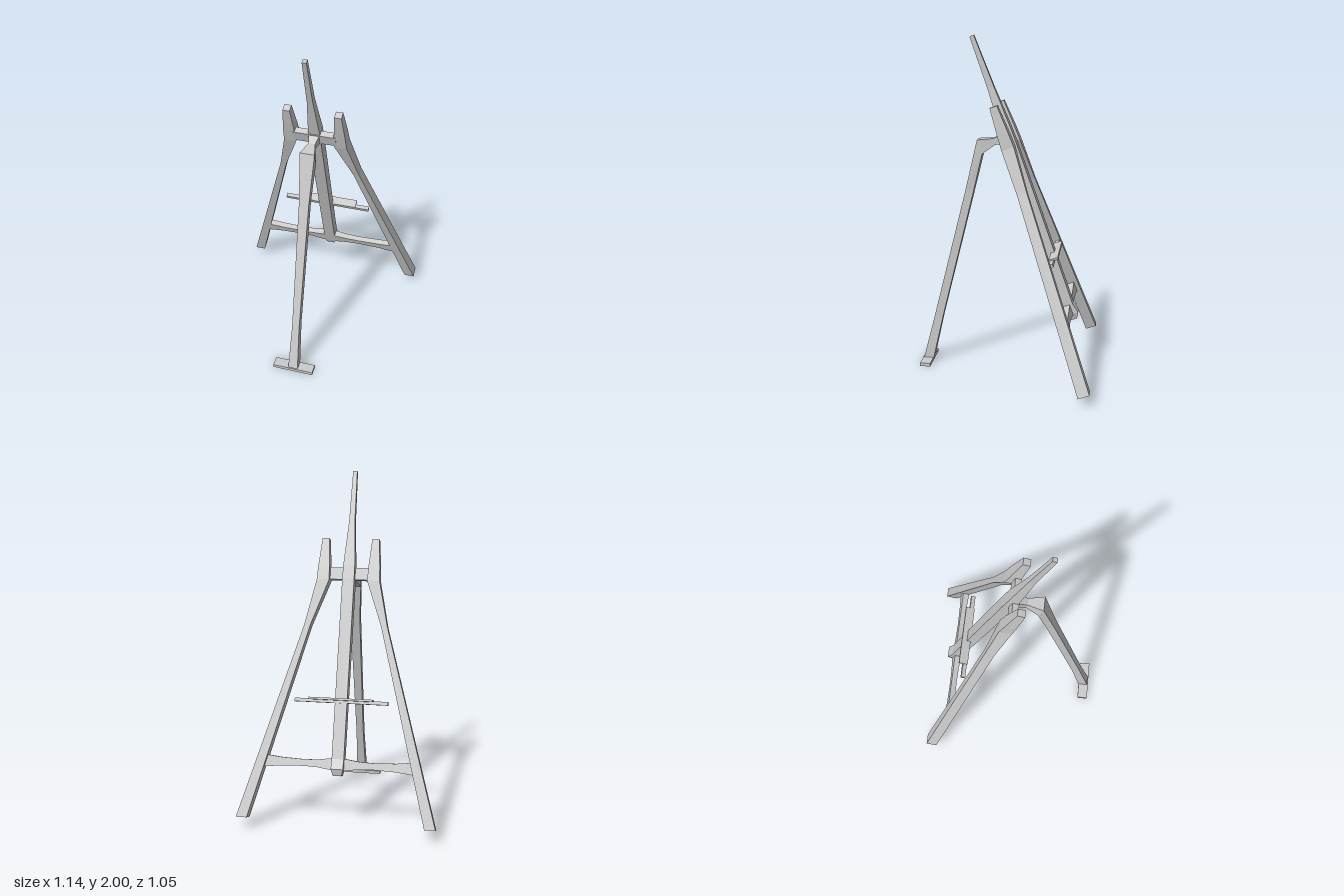
import * as THREE from 'three';

const material = new THREE.MeshStandardMaterial({ color: 0xcccccc, flatShading: true });

// Faceted beam through four-cornered cross-sections, capped at both ends
function loft(name, sections) {
  const pos = [];
  const quad = (a, b, c, d) => [a, b, c, a, c, d].forEach((p) => pos.push(...p));
  for (let i = 0; i < sections.length - 1; i++) {
    const s = sections[i], n = sections[i + 1];
    for (let k = 0; k < 4; k++) quad(s[k], s[(k + 1) % 4], n[(k + 1) % 4], n[k]);
  }
  const last = sections[sections.length - 1];
  quad(...[...sections[0]].reverse());
  quad(...last);

  // Turn all faces outward, whichever way the sections run
  let volume = 0;
  const [a, b, c] = [0, 0, 0].map(() => new THREE.Vector3());
  for (let i = 0; i < pos.length; i += 9) {
    a.fromArray(pos, i); b.fromArray(pos, i + 3); c.fromArray(pos, i + 6);
    volume += a.dot(b.cross(c));
  }
  if (volume < 0) {
    for (let i = 0; i < pos.length; i += 9) {
      const p = pos.slice(i + 3, i + 6);
      for (let k = 0; k < 3; k++) { pos[i + 3 + k] = pos[i + 6 + k]; pos[i + 6 + k] = p[k]; }
    }
  }
  const geo = new THREE.BufferGeometry();
  geo.setAttribute('position', new THREE.Float32BufferAttribute(pos, 3));
  geo.computeVertexNormals();
  const mesh = new THREE.Mesh(geo, material);
  mesh.name = name;
  return mesh;
}

// Rectangle across a beam that runs along y
const acrossY = ([x0, x1, y, z0, z1]) => [[x0, y, z0], [x1, y, z0], [x1, y, z1], [x0, y, z1]];

function box(name, w, h, d, x, y, z) {
  const mesh = new THREE.Mesh(new THREE.BoxGeometry(w, h, d), material);
  mesh.name = name;
  mesh.position.set(x, y, z);
  return mesh;
}

export function createModel() {
  const model = new THREE.Group();
  model.name = 'easel';

  // Leaning frame: local y runs up the slope
  const frame = new THREE.Group();
  frame.name = 'leaningFrame';
  frame.position.set(0, 0.063, -0.493);
  frame.rotation.x = 0.346;
  model.add(frame);

  // Splayed side legs ending in tapered pegs: inner x, outer x, height, half depth
  const legRows = [
    [0.507, 0.57, 0, 0.034],
    [0.207, 0.243, 1.125, 0.029],
    [0.112, 0.185, 1.39, 0.037],
    [0.115, 0.181, 1.475, 0.033],
    [0.127, 0.168, 1.64, 0.022],
  ];
  for (const [side, name] of [[1, 'leftLeg'], [-1, 'rightLeg']]) {
    frame.add(loft(name, legRows.map(([xi, xo, y, d]) => acrossY([side * xi, side * xo, y, -d, d]))));
  }

  // Central mast: half width, height, back z, front z
  const mastRows = [
    [0.025, 0.265, -0.022, 0.028],
    [0.035, 0.302, -0.042, 0.033],
    [0.035, 0.36, -0.028, 0.033],
    [0.035, 1.4, -0.034, 0.034],
    [0.034, 1.48, -0.032, 0.032],
    [0.017, 1.74, -0.018, 0.022],
    [0.0125, 2.055, -0.007, 0.019],
  ];
  frame.add(loft('mast', mastRows.map(([w, y, z0, z1]) => acrossY([-w, w, y, z0, z1]))));

  // Bar joining the legs near the top
  frame.add(box('topCrossbar', 0.25, 0.071, 0.038, 0, 1.436, 0.018));

  // Lower stretcher, waisted on each side of the mast: x, half height, half depth
  const half = [[0.43, 0.035, 0.02], [0.33, 0.024, 0.018], [0.2, 0.019, 0.017], [0.12, 0.022, 0.018], [0.035, 0.034, 0.021]];
  const stretcherRows = [...half.map(([x, h, d]) => [-x, h, d]), ...[...half].reverse()];
  frame.add(loft('stretcher', stretcherRows.map(([x, h, d]) => {
    const y = 0.329, z = 0.012;
    return [[x, y - h, z - d], [x, y + h, z - d], [x, y + h, z + d], [x, y - h, z + d]];
  })));

  // Picture ledge on its support bar
  frame.add(box('ledge', 0.37, 0.012, 0.055, 0, 0.697, -0.034));
  frame.add(box('ledgeBar', 0.54, 0.02, 0.025, 0, 0.686, -0.022));

  // Prop leg with a bent top: half width, then outer and inner edge as y, z
  const propRows = [
    [0.03, 0.0, 0.529, 0.0, 0.468],
    [0.022, 0.3, 0.452, 0.3, 0.4],
    [0.029, 1.1, 0.25, 1.1, 0.2],
    [0.043, 1.398, 0.178, 1.315, 0.148],
    [0.02, 1.405, 0.085, 1.368, 0.074],
    [0.034, 1.44, 0.02, 1.375, 0.0],
  ];
  model.add(loft('propLeg', propRows.map(([w, yo, zo, yi, zi]) =>
    [[-w, yo, zo], [w, yo, zo], [w, yi, zi], [-w, yi, zi]])));

  // Foot plate under the prop leg
  model.add(box('footPlate', 0.25, 0.02, 0.064, 0, 0.01, 0.498));

  return model;
}
